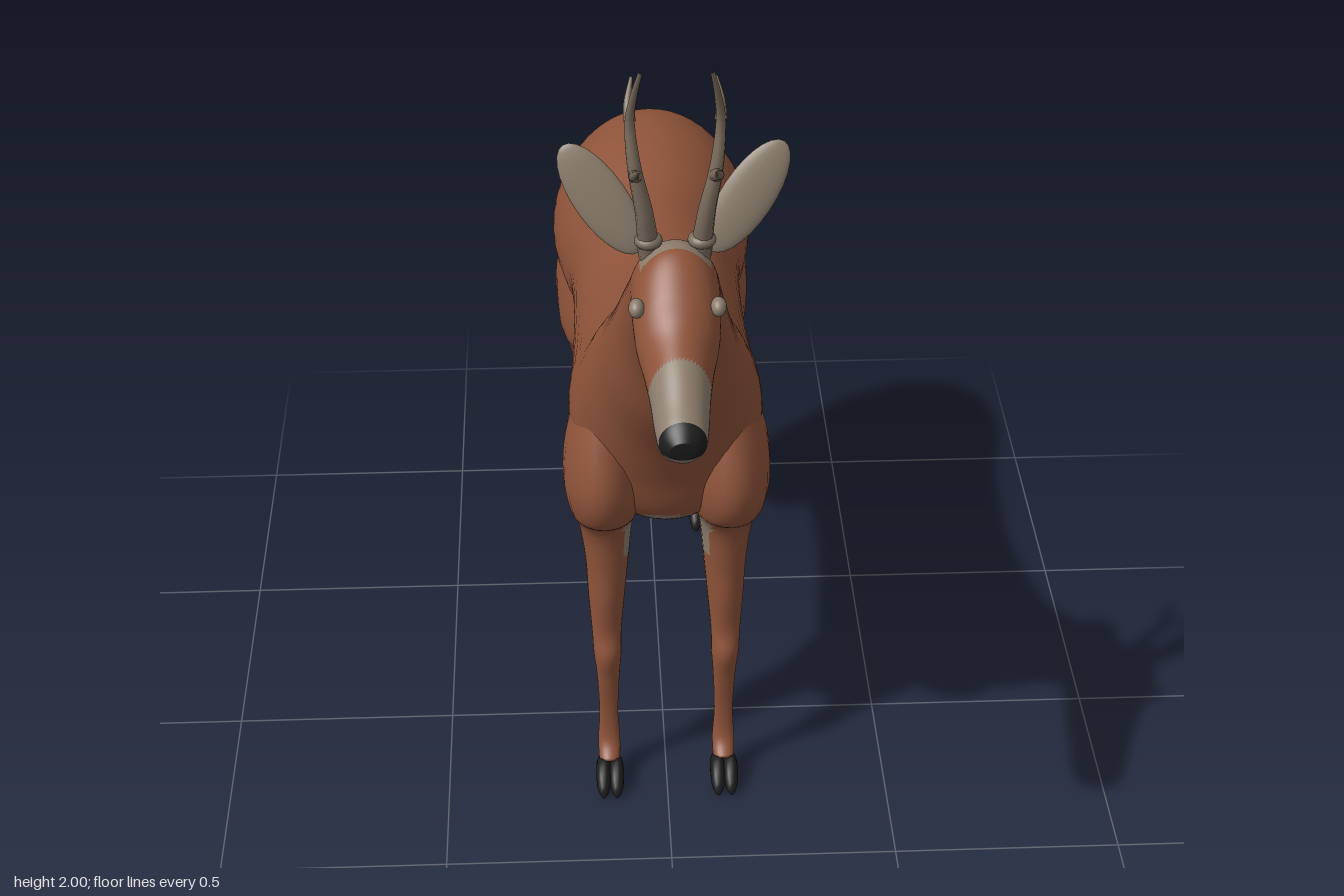
import * as THREE from 'three';

const flat = (name, color) => {
  const m = new THREE.MeshStandardMaterial({ color });
  m.name = name;
  return m;
};
const coat = flat('russet coat', 0x8e533a);
const pale = flat('pale fur', 0x8c7d6d);
const dark = flat('black horn', 0x1d1d1e);
const antlerMat = flat('antler', 0x7b6c5d);

// Smooth interpolation between four neighbouring values
function spline(a, b, c, d, t) {
  const v0 = (c - a) / 2, v1 = (d - b) / 2;
  return (2 * b - 2 * c + v0 + v1) * t ** 3 + (3 * c - 3 * b - 2 * v0 - v1) * t * t + v0 * t + b;
}

// Skin over elliptical rings [zTop, yTop, zBottom, yBottom, halfWidth, xCentre].
// paint(x, y, z) picks the material index for each face.
function loft(name, keys, { segs = 24, steps = 5, mats = [coat], paint = () => 0 } = {}) {
  const rings = [];
  const at = i => keys[Math.min(Math.max(i, 0), keys.length - 1)];
  for (let i = 0; i < keys.length - 1; i++)
    for (let s = 0; s < steps; s++)
      rings.push(keys[i].map((_, k) => spline(at(i - 1)[k], at(i)[k], at(i + 1)[k], at(i + 2)[k], s / steps)));
  rings.push(keys[keys.length - 1]);

  const pos = [];
  for (const [zt, yt, zb, yb, w, x = 0] of rings)
    for (let j = 0; j < segs; j++) {
      const a = (j / segs) * Math.PI * 2, c = Math.cos(a) / 2;
      pos.push(x + Math.sin(a) * w, (yt + yb) / 2 + c * (yt - yb), (zt + zb) / 2 + c * (zt - zb));
    }
  const n = rings.length;
  for (const [zt, yt, zb, yb, , x = 0] of [rings[0], rings[n - 1]]) pos.push(x, (yt + yb) / 2, (zt + zb) / 2);

  const buckets = mats.map(() => []);
  const face = (...f) => {
    const mid = k => f.reduce((sum, v) => sum + pos[v * 3 + k], 0) / 3;
    buckets[paint(mid(0), mid(1), mid(2))].push(...f);
  };
  for (let j = 0; j < segs; j++) {
    const k = (j + 1) % segs, last = (n - 1) * segs;
    for (let i = 0; i < n - 1; i++) {
      const a = i * segs + j, b = i * segs + k;
      face(a, a + segs, b);
      face(b, a + segs, b + segs);
    }
    face(n * segs, j, k);
    face(n * segs + 1, last + k, last + j);
  }
  const geo = new THREE.BufferGeometry();
  geo.setAttribute('position', new THREE.Float32BufferAttribute(pos, 3));
  geo.setIndex(buckets.flat());
  let start = 0;
  buckets.forEach((b, i) => { geo.addGroup(start, b.length, i); start += b.length; });
  geo.computeVertexNormals();
  const mesh = new THREE.Mesh(geo, mats.length > 1 ? mats : mats[0]);
  mesh.name = name;
  return mesh;
}

// Tapering round branch through points
function branch(name, points, r0, r1) {
  const curve = new THREE.CatmullRomCurve3(points.map(p => new THREE.Vector3(...p)));
  const N = 16, R = 10, geo = new THREE.TubeGeometry(curve, N, 1, R);
  const p = geo.attributes.position, v = new THREE.Vector3();
  for (let i = 0; i <= N; i++) {
    const c = curve.getPointAt(i / N), r = r0 + (r1 - r0) * (i / N);
    for (let j = 0; j <= R; j++) {
      const k = i * (R + 1) + j;
      v.fromBufferAttribute(p, k).sub(c).multiplyScalar(r).add(c);
      p.setXYZ(k, v.x, v.y, v.z);
    }
  }
  const mesh = new THREE.Mesh(geo, antlerMat);
  mesh.name = name;
  return mesh;
}

function blob(name, mat, [x, y, z], [sx, sy, sz]) {
  const mesh = new THREE.Mesh(new THREE.SphereGeometry(1, 20, 14), mat);
  mesh.position.set(x, y, z);
  mesh.scale.set(sx, sy, sz);
  mesh.name = name;
  return mesh;
}

// Rump to nose: one continuous skin
const BODY = [
  [-.932, 1.0, -.93, .985, .004], [-.903, 1.09, -.895, .93, .06], [-.876, 1.14, -.88, .86, .125],
  [-.84, 1.172, -.85, .78, .175], [-.78, 1.195, -.79, .71, .215], [-.68, 1.205, -.68, .68, .235],
  [-.56, 1.195, -.55, .7, .22], [-.45, 1.178, -.45, .722, .198], [-.3, 1.18, -.3, .72, .19],
  [-.15, 1.177, -.15, .712, .193], [0, 1.208, .02, .685, .2], [.1, 1.235, .14, .69, .207],
  [.17, 1.27, .27, .77, .2], [.22, 1.315, .325, .9, .178], [.28, 1.37, .375, 1.01, .15],
  [.35, 1.437, .45, 1.14, .128], [.43, 1.51, .495, 1.27, .108], [.5, 1.575, .54, 1.355, .094],
  [.55, 1.625, .585, 1.405, .086], [.61, 1.635, .64, 1.4, .084], [.675, 1.595, .7, 1.387, .079],
  [.73, 1.545, .75, 1.373, .066], [.8, 1.508, .805, 1.358, .056], [.86, 1.472, .86, 1.346, .05],
  [.905, 1.448, .9, 1.36, .043], [.932, 1.425, .925, 1.385, .024]
];
function paintBody(x, y, z) {
  if (z > .9 && y > 1.383) return 2;                                    // nose
  if (z > .79) return 1;                                                // muzzle
  if (z > .515 && z < .605 && y > 1.59) return 1;                       // crown
  if (z < -.857 && y > .8) return 1;                                    // rump
  if (y < .78 && (x / .11) ** 2 + ((z - .03) / .26) ** 2 < 1) return 1; // belly
  if (y < .82 && z < -.55 && Math.abs(x) < .1) return 1;                // groin
  return 0;
}

const FORELEG = [
  [.27, 1.1, .1, 1.08, .03, .13], [.32, .98, .06, .95, .075, .135], [.35, .87, .06, .84, .085, .137],
  [.325, .785, .08, .75, .075, .135], [.245, .71, .105, .68, .059, .132], [.226, .6, .12, .6, .048, .13],
  [.225, .5, .122, .5, .041, .132], [.22, .41, .162, .4, .033, .133], [.235, .35, .165, .345, .031, .132],
  [.222, .28, .185, .28, .025, .131], [.21, .18, .188, .17, .021, .131], [.217, .1, .183, .09, .025, .131],
  [.25, .065, .2, .045, .024, .131]
];
const HINDLEG = [
  [-.54, .98, -.82, .98, .06, .14], [-.5, .84, -.845, .84, .095, .135], [-.49, .71, -.82, .735, .092, .135],
  [-.565, .635, -.755, .655, .074, .135], [-.59, .565, -.732, .615, .06, .133], [-.602, .49, -.745, .575, .05, .132],
  [-.65, .453, -.77, .548, .045, .132], [-.72, .465, -.792, .522, .037, .133], [-.775, .465, -.83, .485, .031, .136],
  [-.808, .42, -.875, .432, .03, .138], [-.81, .36, -.848, .37, .025, .136], [-.797, .2, -.832, .2, .021, .133],
  [-.785, .12, -.825, .095, .025, .131], [-.75, .065, -.8, .045, .024, .131]
];
const TOE = [
  [.2, .035, .205, .015, .006, 0], [.21, .052, .21, .006, .014, 0], [.245, .066, .245, 0, .017, 0],
  [.28, .048, .29, 0, .015, 0], [.302, .024, .305, .002, .007, 0]
];

export function createModel() {
  const deer = new THREE.Group();
  deer.name = 'deer';
  deer.add(loft('body', BODY, { segs: 48, steps: 9, mats: [coat, pale, dark], paint: paintBody }));

  for (const s of [1, -1]) {
    const side = s > 0 ? 'left' : 'right';
    const mirror = keys => keys.map(k => [...k.slice(0, 5), k[5] * s]);

    // Legs with pale inner thighs
    deer.add(loft(side + 'ForeLeg', mirror(FORELEG), {
      mats: [coat, pale], paint: (x, y) => (x * s < .095 && y > .62 && y < .75 ? 1 : 0)
    }));
    deer.add(loft(side + 'HindLeg', mirror(HINDLEG), {
      mats: [coat, pale], paint: (x, y) => (x * s < .095 && y > .6 ? 1 : 0)
    }));

    // Cloven hooves
    for (const [end, dz] of [['Fore', 0], ['Hind', -1.005]])
      for (const dx of [-.015, .015])
        deer.add(loft(side + end + 'Hoof',
          TOE.map(k => [k[0] + dz, k[1], k[2] + dz, k[3], k[4], s * .131 + dx]),
          { segs: 14, steps: 3, mats: [dark] }));

    // Leaf-shaped ear leaning outward and slightly back
    const ear = blob(side + 'Ear', pale, [s * .137, 1.7, .525], [.05, .125, .014]);
    ear.rotation.set(-.26, 0, -s * .58);
    deer.add(ear);

    deer.add(blob(side + 'Eye', pale, [s * .076, 1.553, .675], [.015, .018, .021]));

    // Antler: beam, burr and two tines
    const antler = new THREE.Group();
    antler.name = side + 'Antler';
    antler.add(
      branch('beam', [[s * .048, 1.6, .565], [s * .058, 1.7, .577], [s * .075, 1.79, .575],
        [s * .083, 1.88, .562], [s * .076, 1.94, .578], [s * .064, 2, .602]], .021, .004),
      branch('frontTine', [[s * .073, 1.775, .575], [s * .078, 1.8, .62], [s * .07, 1.832, .662]], .014, .003),
      branch('backTine', [[s * .083, 1.88, .562], [s * .085, 1.905, .53], [s * .078, 1.935, .492]], .012, .003),
      blob('burr', antlerMat, [s * .05, 1.635, .568], [.027, .016, .027])
    );
    deer.add(antler);
  }
  return deer;
}
